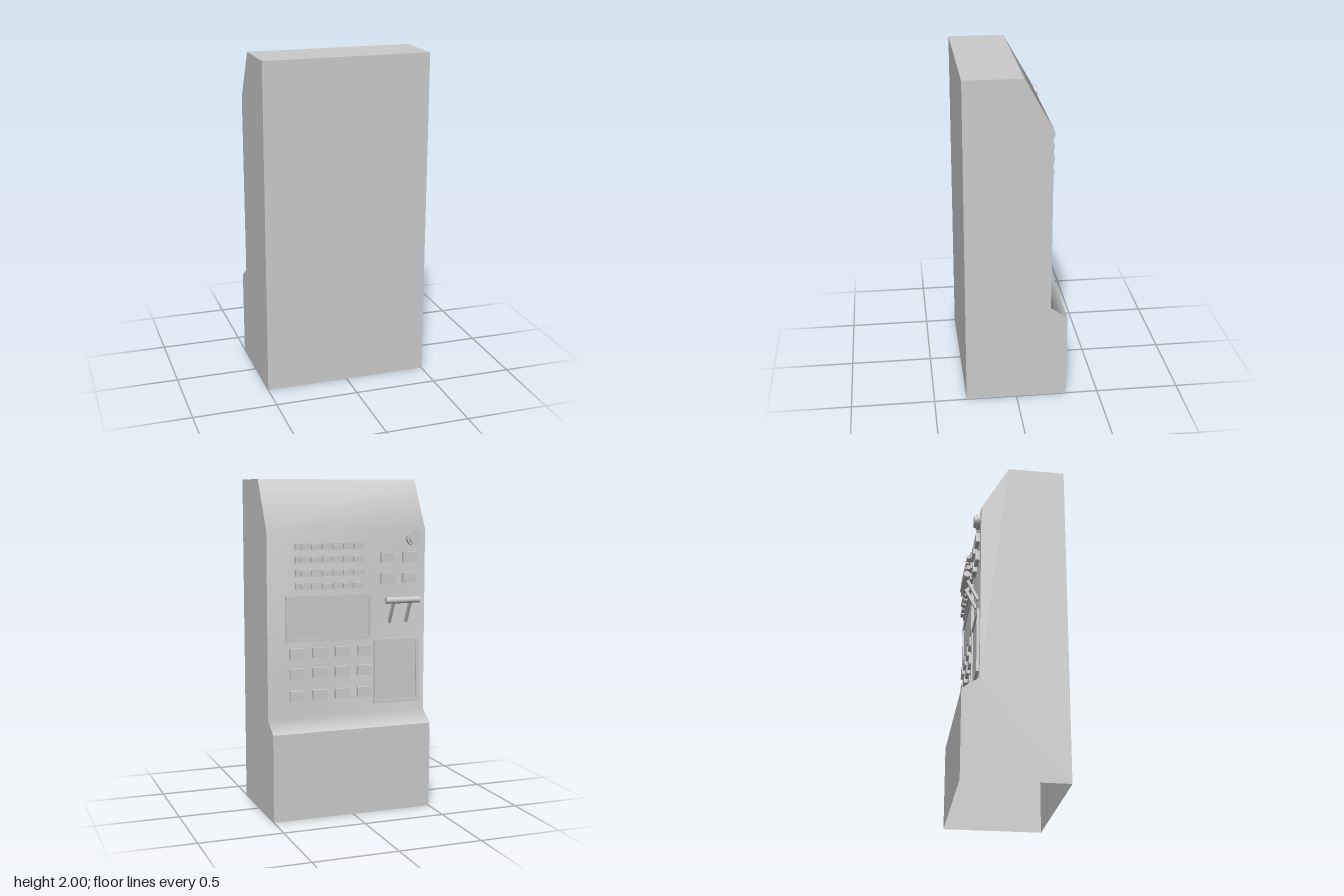
import * as THREE from 'three';

const grey = new THREE.MeshStandardMaterial({ color: 0xcccccc, side: THREE.DoubleSide });
const PANEL = -0.204; // z of the control panel, which faces -z

function add(parent, name, geometry, x = 0, y = 0, z = 0) {
  const mesh = new THREE.Mesh(geometry, grey);
  mesh.name = name;
  mesh.position.set(x, y, z);
  parent.add(mesh);
  return mesh;
}

function addGroup(parent, name) {
  const group = new THREE.Group();
  group.name = name;
  parent.add(group);
  return group;
}

// Sheet across the cabinet width along [z, y] points, smooth between them
function strip(points) {
  const pos = [], index = [];
  points.forEach(([z, y], i) => {
    pos.push(0.5, y, z, -0.5, y, z);
    if (i) {
      const a = 2 * i - 2;
      index.push(a, a + 2, a + 1, a + 1, a + 2, a + 3);
    }
  });
  const g = new THREE.BufferGeometry();
  g.setAttribute('position', new THREE.Float32BufferAttribute(pos, 3));
  g.setIndex(index);
  g.computeVertexNormals();
  return g;
}

// Block standing d proud of the panel
function block(parent, name, x, y, w, h, d) {
  return add(parent, name, new THREE.BoxGeometry(w, h, d), x, y, PANEL - d / 2);
}

// Raised rectangular frame around a recessed plate
function framed(parent, name, x, y, w, h, d, border) {
  const group = addGroup(parent, name);
  const rect = (T, a, b) => new T([[-a, -b], [a, -b], [a, b], [-a, b]].map(p => new THREE.Vector2(...p)));
  const shape = rect(THREE.Shape, w / 2, h / 2);
  shape.holes.push(rect(THREE.Path, w / 2 - border, h / 2 - border));
  add(group, name + 'Frame', new THREE.ExtrudeGeometry(shape, { depth: d, bevelEnabled: false }), x, y, PANEL - d);
  block(group, name + 'Plate', x, y, w - 2 * border, h - 2 * border, d * 0.4);
}

export function createModel() {
  const model = new THREE.Group();
  model.name = 'controlCabinet';

  // Cabinet shell, open underneath
  const cabinet = addGroup(model, 'cabinet');
  const B = 0.305;
  const outline = [[B, 0], [B, 2], [-0.037, 2], [PANEL, 1.705], [PANEL, 0.595], [-B, 0.525], [-B, 0]];
  add(cabinet, 'plainWall', strip(outline.slice(0, 2)));
  add(cabinet, 'top', strip(outline.slice(1, 3)));
  add(cabinet, 'panelWithSlopes', strip(outline.slice(2, 6)));
  add(cabinet, 'baseWall', strip(outline.slice(5, 7)));
  for (const s of [1, -1]) {
    const side = new THREE.Shape(outline.map(([z, y]) => new THREE.Vector2(-s * z, y)));
    add(cabinet, s > 0 ? 'leftSide' : 'rightSide',
      new THREE.ShapeGeometry(side).rotateY(s * Math.PI / 2), s * 0.5);
  }

  // Four strips of small switches
  const switches = addGroup(model, 'switchRows');
  for (const y of [1.61, 1.535, 1.457, 1.38]) {
    block(switches, 'switchStrip', 0.115, y, 0.43, 0.04, 0.021);
    for (let i = 0; i < 6; i++) block(switches, 'switch', -0.05 + i * 0.0655, y, 0.048, 0.026, 0.039);
  }

  // Display and lower plate
  framed(model, 'display', 0.119, 1.188, 0.54, 0.275, 0.016, 0.02);
  framed(model, 'lowerPlate', -0.315, 0.847, 0.295, 0.393, 0.016, 0.02);

  // Keypad of three rows and four columns
  const keypad = addGroup(model, 'keypad');
  for (const y of [0.984, 0.864, 0.73])
    for (const x of [0.322, 0.18, 0.038, -0.104]) block(keypad, 'key', x, y, 0.09, 0.06, 0.024);

  // Four upper buttons
  const buttons = addGroup(model, 'upperButtons');
  for (const y of [1.538, 1.412])
    for (const x of [-0.25, -0.393]) block(buttons, 'upperButton', x, y, 0.088, 0.06, 0.024);

  // Round button: collar and cap
  const round = addGroup(model, 'roundButton');
  for (const [name, r, d] of [['collar', 0.047, 0.021], ['cap', 0.035, 0.036]])
    add(round, name, new THREE.CylinderGeometry(r, r, d, 32).rotateX(Math.PI / 2), -0.421, 1.652, PANEL - d / 2);

  // Lever: bar on two slanted arms
  const lever = addGroup(model, 'lever');
  const foot = new THREE.Vector3(0, 1.145, PANEL), head = new THREE.Vector3(0, 1.285, -0.277);
  add(lever, 'leverBar', new THREE.CylinderGeometry(0.0195, 0.0195, 0.216, 32).rotateZ(Math.PI / 2), -0.323, head.y, head.z);
  const length = foot.distanceTo(head);
  for (const x of [-0.376, -0.268]) {
    const arm = add(lever, 'leverArm', new THREE.BoxGeometry(0.017, length, 0.017), x, (foot.y + head.y) / 2, (foot.z + head.z) / 2);
    arm.rotation.x = Math.atan2(head.z - foot.z, head.y - foot.y);
  }
  return model;
}
